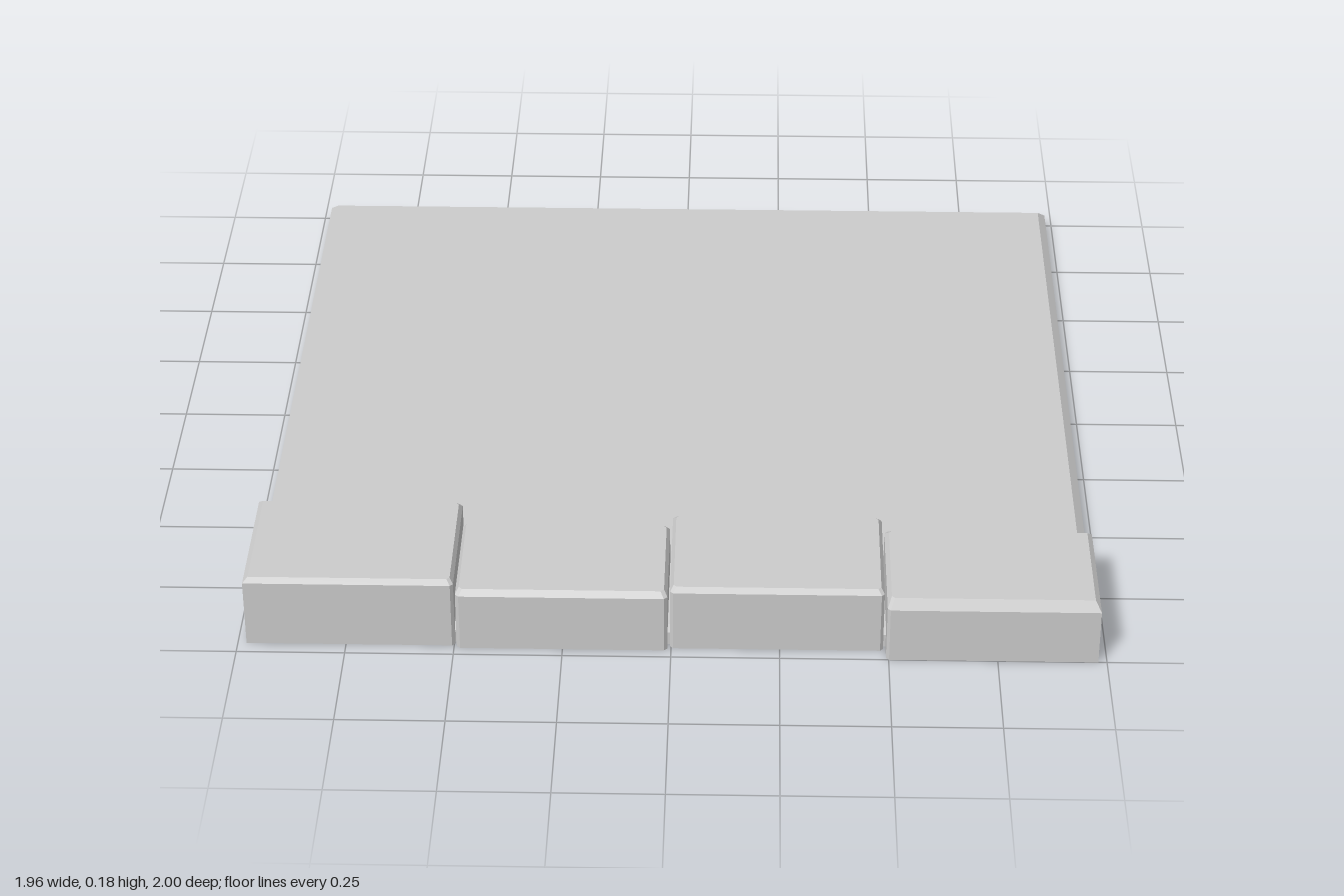
import * as THREE from 'three';
import { ConvexGeometry } from 'three/addons/geometries/ConvexGeometry.js';

const material = new THREE.MeshStandardMaterial({ color: 0xcccccc, flatShading: true });

// Corners of a rectangle; cutL / cutR clip the corners on the -x / +x side.
function ring(x0, x1, z0, z1, y, cutL, cutR) {
  const points = [];
  for (const [x, cut] of [[x0, cutL], [x1, -cutR]]) {
    for (const [z, s] of [[z0, 1], [z1, -1]]) {
      points.push(new THREE.Vector3(x + cut, y, z));
      if (cut) points.push(new THREE.Vector3(x, y, z + s * Math.abs(cut)));
    }
  }
  return points;
}

// Block standing on the ground whose top edges are bevelled by a separate inset per side.
function bevelledBlock(name, { x, z, height, drop, inset, cutL = 0, cutR = 0 }) {
  const [left, right, back, front] = inset;
  const mesh = new THREE.Mesh(new ConvexGeometry([
    ...ring(x[0], x[1], z[0], z[1], 0, cutL, cutR),
    ...ring(x[0], x[1], z[0], z[1], height - drop, cutL, cutR),
    ...ring(x[0] + left, x[1] - right, z[0] + back, z[1] - front, height, cutL, cutR),
  ]), material);
  mesh.name = name;
  return mesh;
}

export function createModel() {
  const group = new THREE.Group();
  group.name = 'pavementTile';

  // Flat paving slab, running under the kerb
  group.add(bevelledBlock('slab', {
    x: [-0.98, 0.98], z: [-1, 0.95], height: 0.05, drop: 0.017, inset: [0.02, 0.02, 0.016, 0.01],
  }));

  // Row of uneven kerb stones along the front edge
  const kerb = new THREE.Group();
  kerb.name = 'kerb';
  const stones = [
    { x: [-0.98, -0.498], z: [0.635, 0.966], height: 0.18, inset: [0.012, 0.008, 0.013, 0.01], cutR: 0.007 },
    { x: [-0.494, -0.008], z: [0.686, 0.975], height: 0.157, inset: [0.008, 0.008, 0.012, 0.014], cutL: 0.008, cutR: 0.008 },
    { x: [-0.002, 0.488], z: [0.658, 0.966], height: 0.167, inset: [0.008, 0.008, 0.013, 0.01], cutL: 0.007, cutR: 0.007 },
    { x: [0.494, 0.98], z: [0.686, 1], height: 0.151, inset: [0.01, 0.012, 0.013, 0.033], cutL: 0.007 },
  ];
  stones.forEach((stone, i) => kerb.add(bevelledBlock(`kerbStone${i + 1}`, { drop: 0.012, ...stone })));
  group.add(kerb);

  return group;
}
